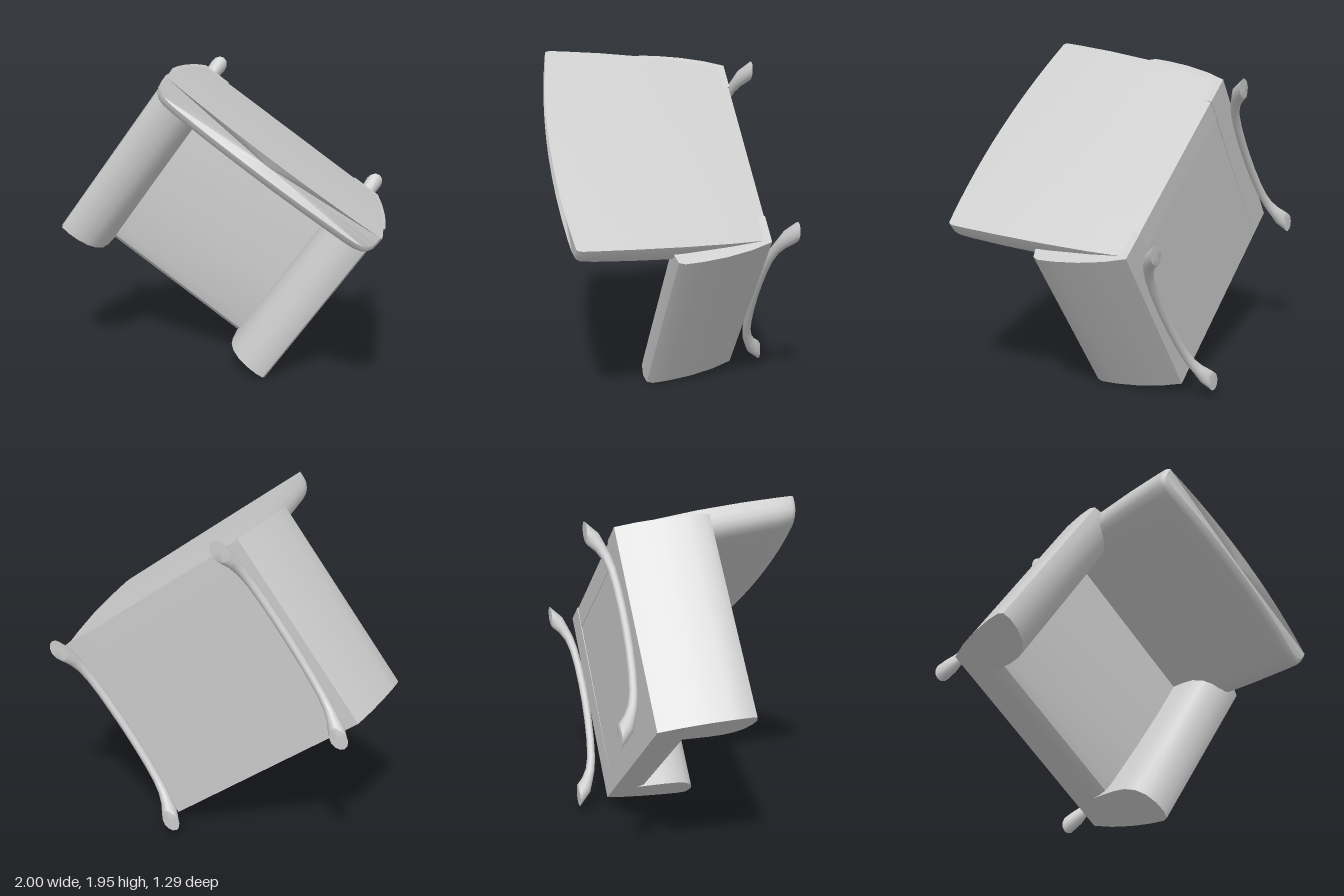
import * as THREE from 'three';
import { toCreasedNormals } from 'three/addons/utils/BufferGeometryUtils.js';

const mat = new THREE.MeshStandardMaterial({ color: 0xcccccc });

// Closed skin through equal-length rings of [x, y, z], with fan caps.
function loft(rings, crease = 0.6) {
  const n = rings[0].length, m = rings.length;
  const pts = rings.flat();
  const idx = [];
  for (let i = 0; i < m - 1; i++) {
    for (let j = 0; j < n; j++) {
      const a = i * n + j, b = i * n + (j + 1) % n;
      idx.push(a, b, b + n, a, b + n, a + n);
    }
  }
  [0, m - 1].forEach((r) => {
    const mid = [0, 1, 2].map((k) => rings[r].reduce((s, p) => s + p[k], 0) / n);
    const c = pts.push(mid) - 1;
    for (let j = 0; j < n; j++) {
      const a = r * n + j, b = r * n + (j + 1) % n;
      if (r === 0) idx.push(c, b, a);
      else idx.push(c, a, b);
    }
  });
  // Turn the skin outward if its signed volume is negative.
  const v = pts.map((p) => new THREE.Vector3(...p));
  let volume = 0;
  for (let i = 0; i < idx.length; i += 3) {
    volume += v[idx[i]].dot(v[idx[i + 1]].clone().cross(v[idx[i + 2]]));
  }
  if (volume < 0) idx.reverse();
  const g = new THREE.BufferGeometry();
  g.setAttribute('position', new THREE.Float32BufferAttribute(pts.flat(), 3));
  g.setIndex(idx);
  return toCreasedNormals(g, crease);
}

function part(name, geometry) {
  const mesh = new THREE.Mesh(geometry, mat);
  mesh.name = name;
  return mesh;
}

// Chair axes: x across, y from front to back, z up from the feet.

// Arm: a rolled section swept front to back, sinking slightly to the rear.
function arm(side) {
  const section = [
    [0.67, -0.46], [0.715, -0.34], [0.75, -0.2], [0.772, -0.06], [0.78, 0.04], [0.768, 0.075],
    [0.72, 0.09], [0.65, 0.086], [0.58, 0.06], [0.53, 0.015], [0.5, -0.05], [0.49, -0.13], [0.49, -0.46],
  ];
  return loft([[0.16, 0], [1.37, -0.035]].map(([y, dz]) =>
    section.map(([x, z]) => [side * x, y, z + dz])));
}

// Seat: cushion and base as one side profile carried across the width.
function seat() {
  const profile = [
    [0.16, -0.46], [0.16, -0.31], [0.17, -0.265], [0.2, -0.23], [0.26, -0.215],
    [0.6, -0.205], [1.0, -0.215], [1.37, -0.25], [1.365, -0.49],
  ];
  return loft([-0.5, 0.5].map((x) => profile.map(([y, z]) => [x, y, z])));
}

// Back: leaning slab, wider towards a gently arched top, padded on the inside.
function back() {
  const levels = [ // height fraction, half width, thickness
    [0, 0.653, 0.13], [0.2, 0.683, 0.15], [0.45, 0.71, 0.17], [0.7, 0.726, 0.165],
    [0.9, 0.733, 0.155], [0.97, 0.734, 0.145], [0.99, 0.73, 0.13], [1, 0.72, 0.105],
  ];
  return loft(levels.map(([t, half, thick]) => {
    const outer = 1.365 + 0.115 * t + 0.012 * Math.sin(Math.PI * t);
    const ring = [];
    const add = (s, d) => ring.push([s * half, outer - d * thick, -0.49 + t * (1.08 + 0.055 * (1 - s * s))]);
    for (let i = -6; i <= 6; i++) add(i / 6, 0);
    [[1, 0.3], [0.995, 0.55], [0.975, 0.75], [0.94, 0.9], [0.88, 0.98]].forEach(([s, d]) => add(s, d));
    for (let i = 4; i >= -4; i--) add(i / 5, 1);
    [[-0.88, 0.98], [-0.94, 0.9], [-0.975, 0.75], [-0.995, 0.55], [-1, 0.3]].forEach(([s, d]) => add(s, d));
    return ring;
  }));
}

// Leg rail: bowed bar that flares into a foot at each end, cut level at the floor.
function legRail(x0) {
  const half = [ // distance from the middle, height, radius
    [0.6, -0.65, 0.05], [0.555, -0.612, 0.046], [0.5, -0.58, 0.034], [0.44, -0.553, 0.028],
    [0.36, -0.534, 0.025], [0.25, -0.522, 0.024], [0.12, -0.515, 0.024],
  ];
  const path = [
    ...half.map(([d, z, r]) => [-d, z, r]), [0, -0.513, 0.024],
    ...half.slice().reverse(),
  ];
  const last = path.length - 1;
  return loft(path.map(([d, z, r], i) => {
    const p = path[Math.max(i - 1, 0)], q = path[Math.min(i + 1, last)];
    const tilt = Math.atan2(q[1] - p[1], q[0] - p[0]);
    const isEnd = i === 0 || i === last;
    return Array.from({ length: 12 }, (_, k) => {
      const a = (k / 12) * Math.PI * 2, c = r * Math.cos(a), s = r * Math.sin(a);
      if (isEnd) return [x0 + c, 0.775 + d + (i ? 1 : -1) * s * 1.25, z];
      return [x0 + c, 0.775 + d - s * Math.sin(tilt), z + s * Math.cos(tilt)];
    }).map((pt, k, ring) => (i === 0 ? [pt[0], ring[(12 - k) % 12][1], pt[2]] : pt));
  }).map((ring, i) => {
    // Keep the ring order steady at both level cuts.
    if (i !== 0 && i !== last) return ring;
    const y0 = 0.775 + path[i][0];
    return ring.map((pt, k) => [pt[0], y0 + (i ? 1 : -1) * -1.25 * path[i][2] * Math.sin((k / 12) * Math.PI * 2) * -1, pt[2]]);
  }), 1);
}

export function createModel() {
  const armchair = new THREE.Group();
  armchair.name = 'armchair';
  armchair.add(part('seat', seat()), part('backrest', back()));
  [[1, 'left'], [-1, 'right']].forEach(([side, label]) => {
    armchair.add(part(label + 'Arm', arm(side)), part(label + 'LegRail', legRail(side * 0.615)));
  });
  // The chair lies on its back, turned about the z axis.
  armchair.rotation.z = -0.616;
  armchair.position.set(-0.454, 0.321, 0);
  const model = new THREE.Group();
  model.name = 'model';
  model.add(armchair);
  return model;
}
